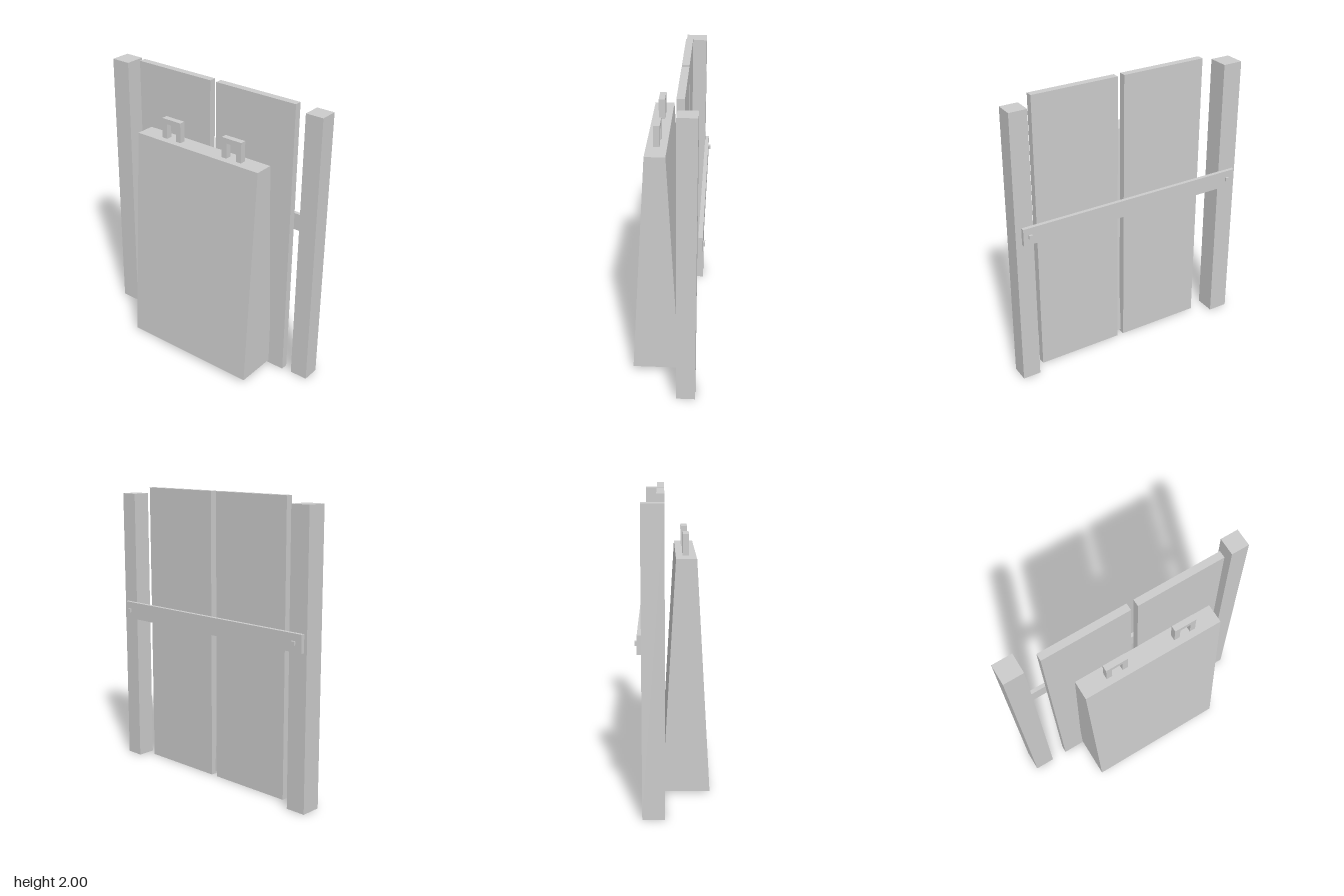
import * as THREE from 'three';

const material = new THREE.MeshStandardMaterial({ color: 0xcccccc, flatShading: true });

// Box given by its minimum and maximum on each axis
function box(name, [x0, x1], [y0, y1], [z0, z1]) {
  const mesh = new THREE.Mesh(new THREE.BoxGeometry(x1 - x0, y1 - y0, z1 - z0), material);
  mesh.position.set((x0 + x1) / 2, (y0 + y1) / 2, (z0 + z1) / 2);
  mesh.name = name;
  return mesh;
}

// Closed outline extruded along +z from z0
function extrude(name, points, z0, depth) {
  const shape = new THREE.Shape(points.map(([x, y]) => new THREE.Vector2(x, y)));
  const geometry = new THREE.ExtrudeGeometry(shape, { depth, bevelEnabled: false });
  const mesh = new THREE.Mesh(geometry, material);
  mesh.position.z = z0;
  mesh.name = name;
  return mesh;
}

export function createModel() {
  const model = new THREE.Group();
  model.name = 'barredDoor';

  // Two tall door panels with a narrow gap
  model.add(box('frontDoorPanel', [0.055, 0.105], [0, 2], [0.055, 0.67]));
  model.add(box('backDoorPanel', [0.055, 0.105], [0, 2], [-0.607, 0.007]));

  // Posts on either side, the back one slightly thicker
  model.add(box('frontPost', [0.065, 0.19], [0, 1.955], [0.737, 0.862]));
  model.add(box('backPost', [0.055, 0.198], [0, 1.96], [-0.862, -0.721]));

  // Crossbar with a square bolt head at each end
  model.add(box('crossbar', [0.197, 0.224], [1.055, 1.175], [-0.84, 0.823]));
  for (const z of [0.775, -0.778]) {
    model.add(box('boltHead', [0.222, 0.238], [1.1, 1.127], [z - 0.013, z + 0.013]));
  }

  // Tapered block leaning against the panels
  const taper = [[-0.243, 0.02], [0.072, 0.02], [-0.018, 1.58], [-0.152, 1.58]];
  model.add(extrude('taperedBlock', taper, -0.45, 1));

  // Two arched handles on top of the block
  const w = 0.078, h = 0.142, leg = 0.04, bar = 0.035;
  const arch = [
    [-w, 0], [-w + leg, 0], [-w + leg, h - bar], [w - leg, h - bar],
    [w - leg, 0], [w, 0], [w, h], [-w, h],
  ];
  for (const z of [-0.193, 0.307]) {
    const handle = extrude('handle', arch, 0, 0.042);
    handle.rotation.y = Math.PI / 2;
    handle.position.set(-0.106, 1.578, z);
    model.add(handle);
  }
  return model;
}
